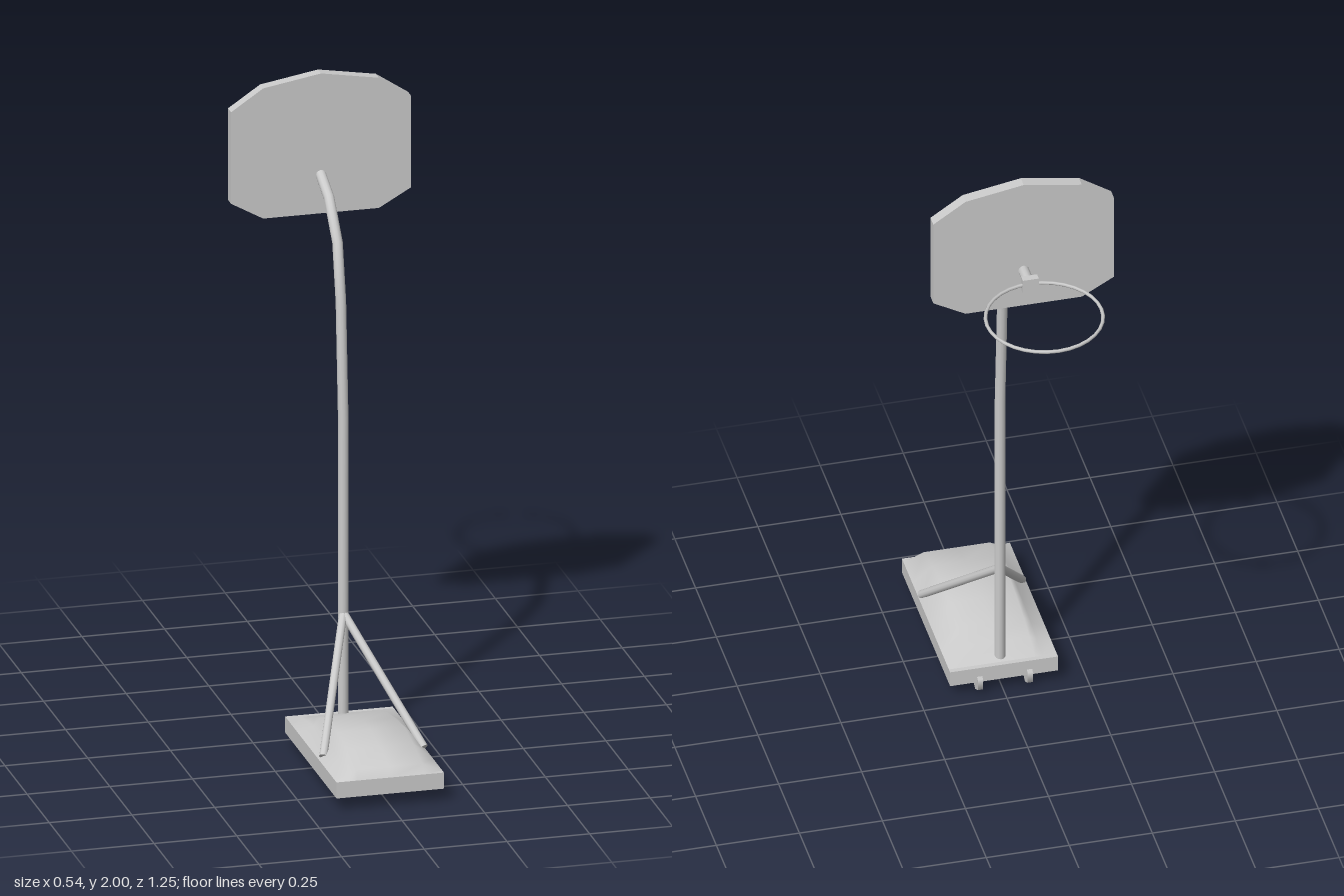
import * as THREE from 'three';

const mat = new THREE.MeshStandardMaterial({ color: 0xcccccc, side: THREE.DoubleSide });
const V = (x, y, z) => new THREE.Vector3(x, y, z);

function add(parent, name, geometry, x = 0, y = 0, z = 0) {
  const mesh = new THREE.Mesh(geometry, mat);
  mesh.name = name;
  mesh.position.set(x, y, z);
  parent.add(mesh);
  return mesh;
}

// Straight round bar between two points
function bar(parent, name, a, b, radius, sides = 10) {
  const dir = b.clone().sub(a);
  const mesh = add(parent, name, new THREE.CylinderGeometry(radius, radius, dir.length(), sides));
  mesh.position.copy(a).add(b).multiplyScalar(0.5);
  mesh.quaternion.setFromUnitVectors(V(0, 1, 0), dir.normalize());
  return mesh;
}

// Grid of points to a smooth surface; rows of equal length
function gridGeometry(rows) {
  const n = rows[0].length, index = [];
  for (let r = 0; r < rows.length - 1; r++) {
    for (let c = 0; c < n - 1; c++) {
      const a = r * n + c, b = a + 1, d = a + n, e = d + 1;
      index.push(a, d, b, b, d, e);
    }
  }
  const g = new THREE.BufferGeometry().setFromPoints(rows.flat());
  g.setIndex(index);
  g.computeVertexNormals();
  return g;
}

// Mitred tube along a path of [z, y] points, capped at the far end
function bentTube(path, radius, sides) {
  const pts = path.map(([z, y]) => new THREE.Vector2(z, y));
  const rows = pts.map((p, i) => {
    const before = p.clone().sub(pts[Math.max(i - 1, 0)]).normalize();
    const after = pts[Math.min(i + 1, pts.length - 1)].clone().sub(p).normalize();
    const t = before.clone().add(after).normalize();
    const ref = i ? before : after;
    const r = radius / t.dot(ref);
    const ring = [];
    for (let k = 0; k <= sides; k++) {
      const a = (k / sides) * Math.PI * 2;
      const s = Math.sin(a) * r;
      ring.push(V(Math.cos(a) * radius, p.y - t.x * s, p.x + t.y * s));
    }
    return ring;
  });
  return gridGeometry(rows);
}

export function createModel() {
  const model = new THREE.Group();

  // Weighted base: slab with a domed top
  const base = new THREE.Group();
  base.name = 'base';
  model.add(base);
  add(base, 'baseSlab', new THREE.BoxGeometry(0.325, 0.05, 0.58), -0.0025, 0.065, 0.335);
  const across = [[-0.165, 0], [-0.122, 0.5], [-0.1, 1], [0, 1], [0.1, 1], [0.16, 0]];
  const along = [[0.06, 0], [0.13, 0.023], [0.2, 0.044], [0.3, 0.06], [0.4, 0.07],
    [0.5, 0.052], [0.605, 0.027], [0.625, 0]];
  add(base, 'baseDome', gridGeometry(along.map(([z, h]) =>
    across.map(([x, k]) => V(x, 0.09 + h * k, z)))));

  // Transport wheels at the pole end
  for (const x of [-0.079, 0.071]) {
    const wheel = add(model, 'wheel', new THREE.CylinderGeometry(0.036, 0.036, 0.016, 6), x, 0.036, 0.067);
    wheel.geometry.rotateX(0).rotateZ(Math.PI / 2);
    wheel.geometry.rotateX(Math.PI / 2);
  }

  // Pole bending over to carry the board
  add(model, 'pole', bentTube([[0.084, 0.05], [0.084, 1.02], [0.058, 1.37], [0.02, 1.54],
    [-0.075, 1.645], [-0.165, 1.683], [-0.2, 1.692], [-0.272, 1.694]], 0.016, 12));

  // Two diagonal struts
  for (const s of [-1, 1]) {
    bar(model, 'strut', V(0, 0.412, 0.085), V(s * 0.152, 0.1, 0.427), 0.0125);
  }

  // Backboard with cut corners and a peaked top
  const half = [[0.175, 1.565], [0.272, 1.62], [0.272, 1.905], [0.175, 1.97]];
  const outline = [...half, [0, 2], ...half.map(([x, y]) => [-x, y]).reverse()];
  const board = new THREE.Shape(outline.map(([x, y]) => new THREE.Vector2(x, y)));
  add(model, 'backboard', new THREE.ExtrudeGeometry(board, { depth: 0.035, bevelEnabled: false }), 0, 0, -0.201);

  // Hoop and its clamp
  add(model, 'hoopClamp', new THREE.BoxGeometry(0.048, 0.046, 0.022), 0, 1.696, -0.277);
  const hoop = add(model, 'hoop', new THREE.TorusGeometry(0.172, 0.0055, 6, 32), 0, 1.697, -0.449);
  hoop.geometry.rotateX(Math.PI / 2);

  return model;
}
